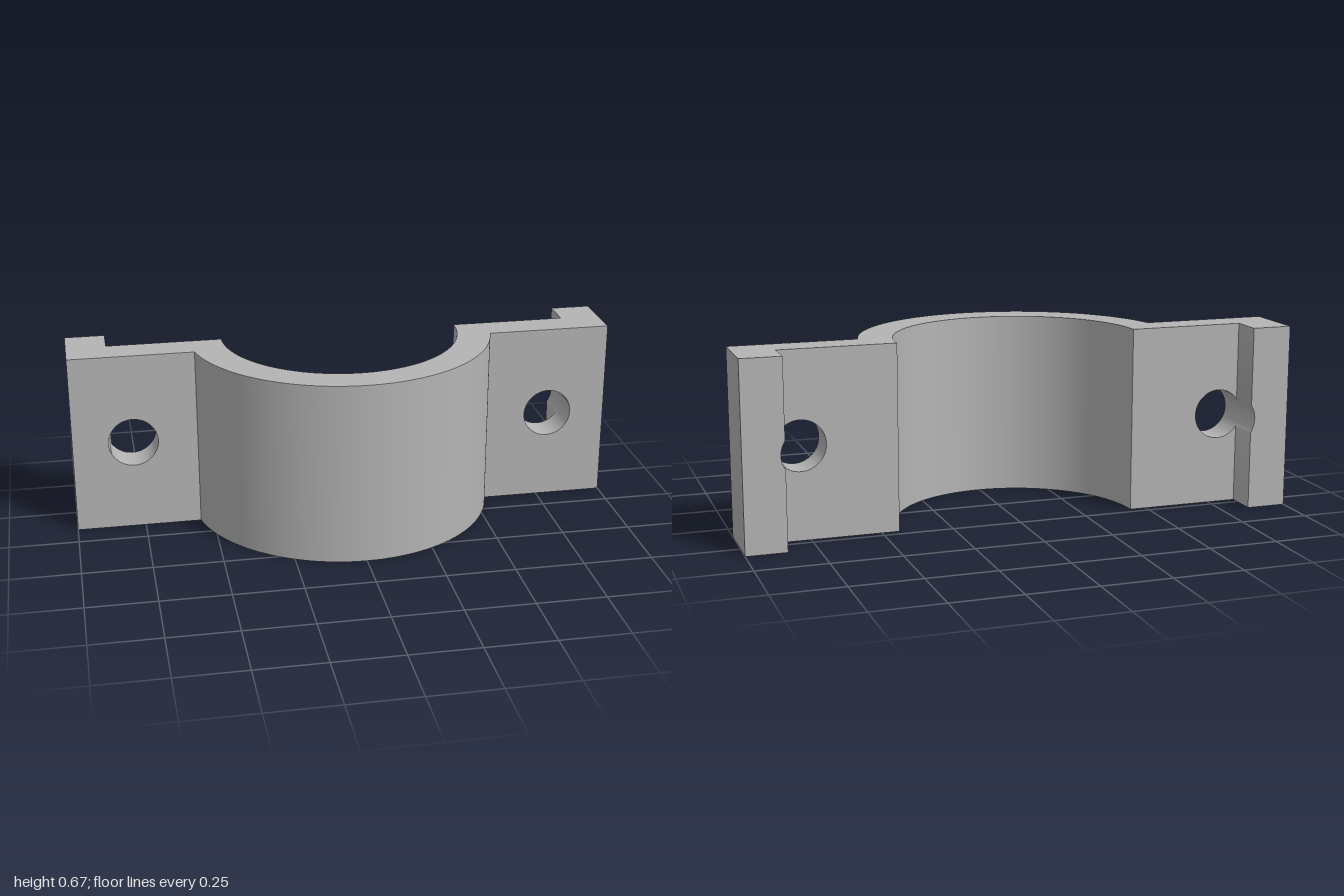
import * as THREE from 'three';
import { toCreasedNormals } from 'three/addons/utils/BufferGeometryUtils.js';

const H = 0.667;                    // height of the clamp
const BACK = -0.22, FRONT = -0.1;   // flange faces along z
const R_IN = 0.437, R_OUT = 0.559;  // saddle radii, centred on the flange back
const HOLE_X = 0.78, HOLE_R = 0.09;
const LIP_X = 0.855, LIP_BACK = -0.339;

function extrude(shape, depth) {
  return new THREE.ExtrudeGeometry(shape, { depth, bevelEnabled: false, curveSegments: 64 });
}

export function createModel() {
  const model = new THREE.Group();
  model.name = 'pipeClamp';
  const steel = new THREE.MeshStandardMaterial({ color: 0xb4b4b4 });
  steel.name = 'greySteel';

  const add = (parent, name, geometry) => {
    const mesh = new THREE.Mesh(toCreasedNormals(geometry, 0.5), steel);
    mesh.name = name;
    parent.add(mesh);
  };

  // Half-round saddle: profile drawn in (x, -z), extruded upward
  const t = FRONT - BACK;
  const joinX = Math.sqrt(R_OUT * R_OUT - t * t);
  const a = Math.asin(t / R_OUT);
  const profile = new THREE.Shape();
  profile.moveTo(-R_IN, -BACK);
  profile.lineTo(-joinX, -BACK);
  profile.lineTo(-joinX, -FRONT);
  profile.absarc(0, -BACK, R_OUT, Math.PI + a, 2 * Math.PI - a, false);
  profile.lineTo(joinX, -BACK);
  profile.lineTo(R_IN, -BACK);
  profile.absarc(0, -BACK, R_IN, 2 * Math.PI, Math.PI, true);
  add(model, 'saddle', extrude(profile, H).rotateX(-Math.PI / 2));

  // Flange plate with a bolt hole, centred on y = 0
  const plate = new THREE.Shape();
  plate.moveTo(joinX, -H / 2);
  plate.lineTo(1, -H / 2);
  plate.lineTo(1, H / 2);
  plate.lineTo(joinX, H / 2);
  plate.closePath();
  const hole = new THREE.Path();
  hole.absarc(HOLE_X, 0, HOLE_R, 0, 2 * Math.PI, true);
  plate.holes.push(hole);

  // Rear lip, notched where the bolt hole runs into it
  const b = Math.acos((LIP_X - HOLE_X) / HOLE_R);
  const lip = new THREE.Shape();
  lip.moveTo(LIP_X, -H / 2);
  lip.lineTo(1, -H / 2);
  lip.lineTo(1, H / 2);
  lip.lineTo(LIP_X, H / 2);
  lip.absarc(HOLE_X, 0, HOLE_R, b, -b, true);
  lip.closePath();

  // The second ear is the first turned half round about z
  for (const [name, turn] of [['leftEar', 0], ['rightEar', Math.PI]]) {
    const ear = new THREE.Group();
    ear.name = name;
    ear.position.y = H / 2;
    ear.rotation.z = turn;
    add(ear, 'flangePlate', extrude(plate, t).translate(0, 0, BACK));
    add(ear, 'rearLip', extrude(lip, BACK - LIP_BACK).translate(0, 0, LIP_BACK));
    model.add(ear);
  }
  return model;
}
